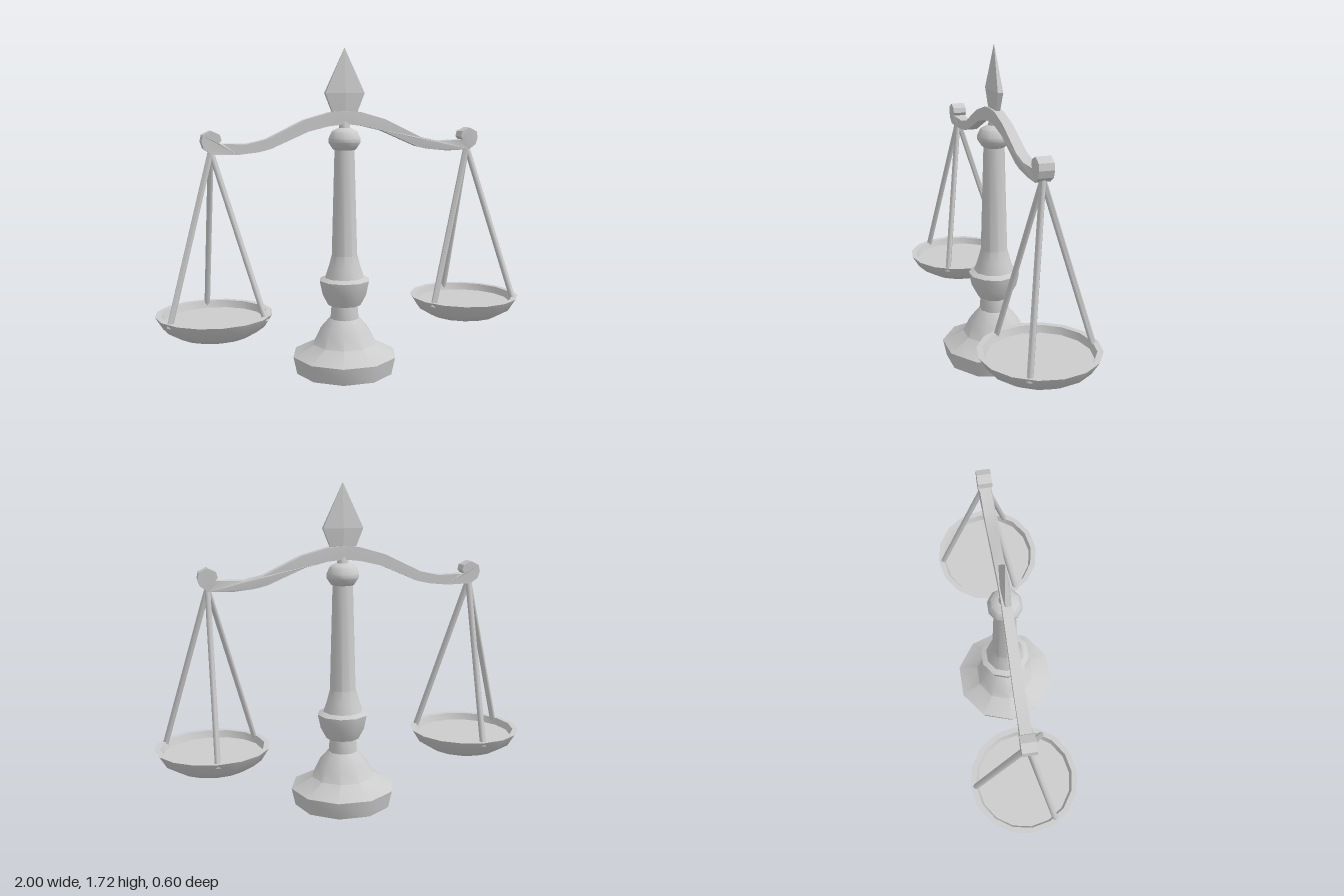
import * as THREE from 'three';
import { toCreasedNormals } from 'three/addons/utils/BufferGeometryUtils.js';

const material = new THREE.MeshStandardMaterial({ color: 0xcccccc });
const vec = (pairs) => pairs.map(([x, y]) => new THREE.Vector2(x, y));

function part(name, geometry, crease) {
  const mesh = new THREE.Mesh(toCreasedNormals(geometry, crease), material);
  mesh.name = name;
  return mesh;
}

// Turned part; profile runs from the bottom axis outwards and up
function turned(name, profile, sides, crease) {
  const geometry = new THREE.LatheGeometry(vec(profile), sides);
  geometry.rotateY(Math.PI / 2);
  return part(name, geometry, crease);
}

// Round rod between two points
function rod(name, a, b, radius) {
  const geometry = new THREE.CylinderGeometry(radius, radius, a.distanceTo(b), 6);
  const mesh = part(name, geometry, 1.1);
  mesh.position.copy(a).add(b).multiplyScalar(0.5);
  mesh.quaternion.setFromUnitVectors(new THREE.Vector3(0, 1, 0), b.clone().sub(a).normalize());
  return mesh;
}

// Curved beam with upturned hooks, thicker in z towards its ends
function beam() {
  const half = [
    [0, 1.33], [0.09, 1.32], [0.2, 1.294], [0.4, 1.208], [0.465, 1.193], [0.57, 1.182],
    [0.7, 1.187], [0.738, 1.214], [0.75, 1.25], [0.743, 1.283], [0.7, 1.305], [0.658, 1.285],
    [0.65, 1.257], [0.663, 1.24], [0.64, 1.238], [0.52, 1.235], [0.42, 1.257],
    [0.22, 1.353], [0.08, 1.393], [0, 1.398],
  ];
  const mirrored = half.slice(1, -1).reverse().map(([x, y]) => [-x, y]);
  const geometry = new THREE.ExtrudeGeometry(new THREE.Shape(vec([...half, ...mirrored])), {
    depth: 2, bevelEnabled: false,
  });
  const p = geometry.attributes.position;
  for (let i = 0; i < p.count; i++) {
    const x = Math.abs(p.getX(i));
    const t = x > 0.645 ? 0.037 : 0.024 + 0.008 * x;
    p.setZ(i, (p.getZ(i) - 1) * t);
  }
  return part('beam', geometry, 0.5);
}

// Thin spearhead lofted through six-sided sections: [y, half width, centre thickness]
function finial() {
  const rings = [[1.34, 0.045, 0.012], [1.39, 0.067, 0.017], [1.49, 0.106, 0.024], [1.72, 0.001, 0.001]];
  const points = [];
  const indices = [];
  rings.forEach(([y, w, t], r) => {
    const e = t * 0.6;
    for (const [x, z] of [[w, e], [w, -e], [0, -t], [-w, -e], [-w, e], [0, t]]) points.push(x, y, z);
    if (r === 0) return;
    for (let i = 0; i < 6; i++) {
      const a = (r - 1) * 6 + i;
      const b = (r - 1) * 6 + ((i + 1) % 6);
      indices.push(a, b, b + 6, a, b + 6, a + 6);
    }
  });
  const geometry = new THREE.BufferGeometry();
  geometry.setAttribute('position', new THREE.Float32BufferAttribute(points, 3));
  geometry.setIndex(indices);
  geometry.computeVertexNormals();
  return part('finial', geometry, 0.15);
}

// Dish hung on three rods from the end of the beam
function hangingPan(name, x) {
  const group = new THREE.Group();
  group.name = name;
  group.position.x = x;
  group.add(turned('dish', [
    [0, 0.235], [0.1, 0.241], [0.19, 0.263], [0.26, 0.305], [0.3, 0.37],
    [0.27, 0.37], [0.258, 0.333], [0, 0.333],
  ], 16, 0.6));
  const top = new THREE.Vector3(0, 1.2, 0);
  for (let i = 0; i < 3; i++) {
    const a = -Math.PI / 2 + (i * Math.PI * 2) / 3;
    const end = new THREE.Vector3(Math.cos(a) * 0.278, 0.345, Math.sin(a) * 0.278);
    group.add(rod('hangerRod', top, end, 0.016));
  }
  return group;
}

export function createModel() {
  const model = new THREE.Group();
  model.name = 'balanceScale';

  // Foot
  model.add(turned('base', [
    [0, 0], [0.265, 0], [0.285, 0.093], [0.171, 0.152], [0.136, 0.225], [0.08, 0.29], [0, 0.29],
  ], 10, 0.65));

  // Post with its bulb and collar
  model.add(turned('post', [
    [0, 0.27], [0.08, 0.28], [0.073, 0.365], [0.09, 0.365], [0.122, 0.425], [0.138, 0.5],
    [0.108, 0.515], [0.09, 0.565], [0.071, 0.635], [0.055, 1.195], [0.064, 1.2], [0.088, 1.235],
    [0.088, 1.255], [0.07, 1.292], [0.035, 1.31], [0, 1.312],
  ], 10, 0.65));
  model.add(turned('postTop', [[0, 1.29], [0.035, 1.29], [0.024, 1.35], [0, 1.35]], 10, 0.65));

  model.add(beam(), finial());
  model.add(hangingPan('leftPan', 0.7), hangingPan('rightPan', -0.7));
  return model;
}
